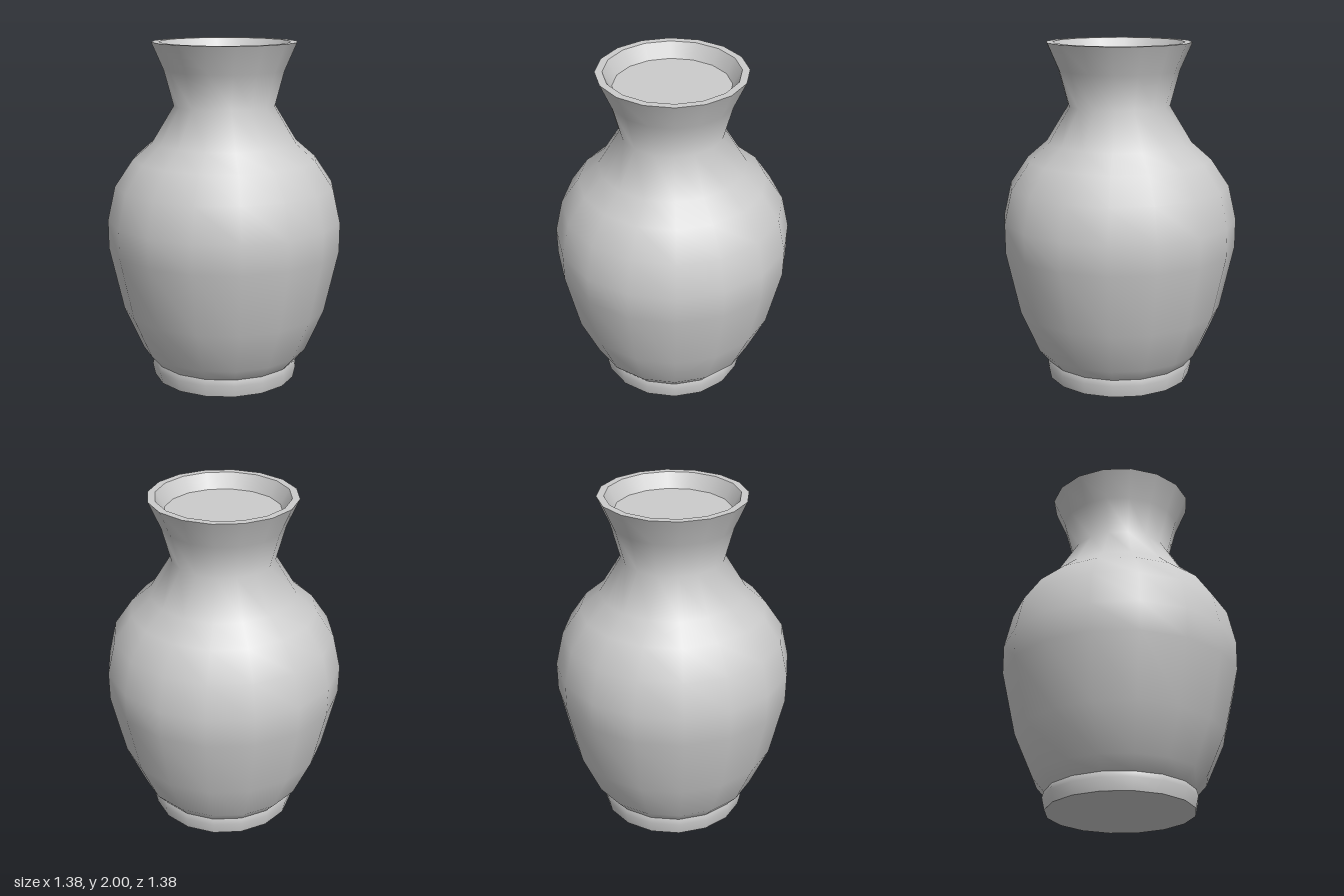
import * as THREE from 'three';

const SIDES = 16;

export function createModel() {
  const vase = new THREE.Group();
  vase.name = 'vase';
  const material = new THREE.MeshStandardMaterial({ color: 0xcccccc });

  // Turns a profile of [radius, height] pairs; separate bands keep the edges between them sharp
  const turn = (name, profile) => {
    const points = profile.map(([r, y]) => new THREE.Vector2(r, y));
    const mesh = new THREE.Mesh(new THREE.LatheGeometry(points, SIDES), material);
    mesh.name = name;
    vase.add(mesh);
  };

  // Foot ring with its flat underside
  turn('footUnderside', [[0, 0], [0.425, 0]]);
  turn('foot', [[0.425, 0], [0.44, 0.07], [0.43, 0.105]]);

  // Smooth belly, shoulder and flared neck
  turn('body', [
    [0.43, 0.105], [0.495, 0.18], [0.605, 0.43], [0.688, 0.8], [0.69, 0.97],
    [0.645, 1.17], [0.54, 1.325], [0.425, 1.425], [0.297, 1.635], [0.352, 1.84], [0.422, 2],
  ]);

  // Flat lip, inner wall of the mouth and the shallow floor inside it
  turn('lip', [[0.422, 2], [0.38, 2]]);
  turn('mouthWall', [[0.38, 2], [0.33, 1.915]]);
  turn('mouthFloor', [[0.33, 1.915], [0, 1.915]]);

  return vase;
}
